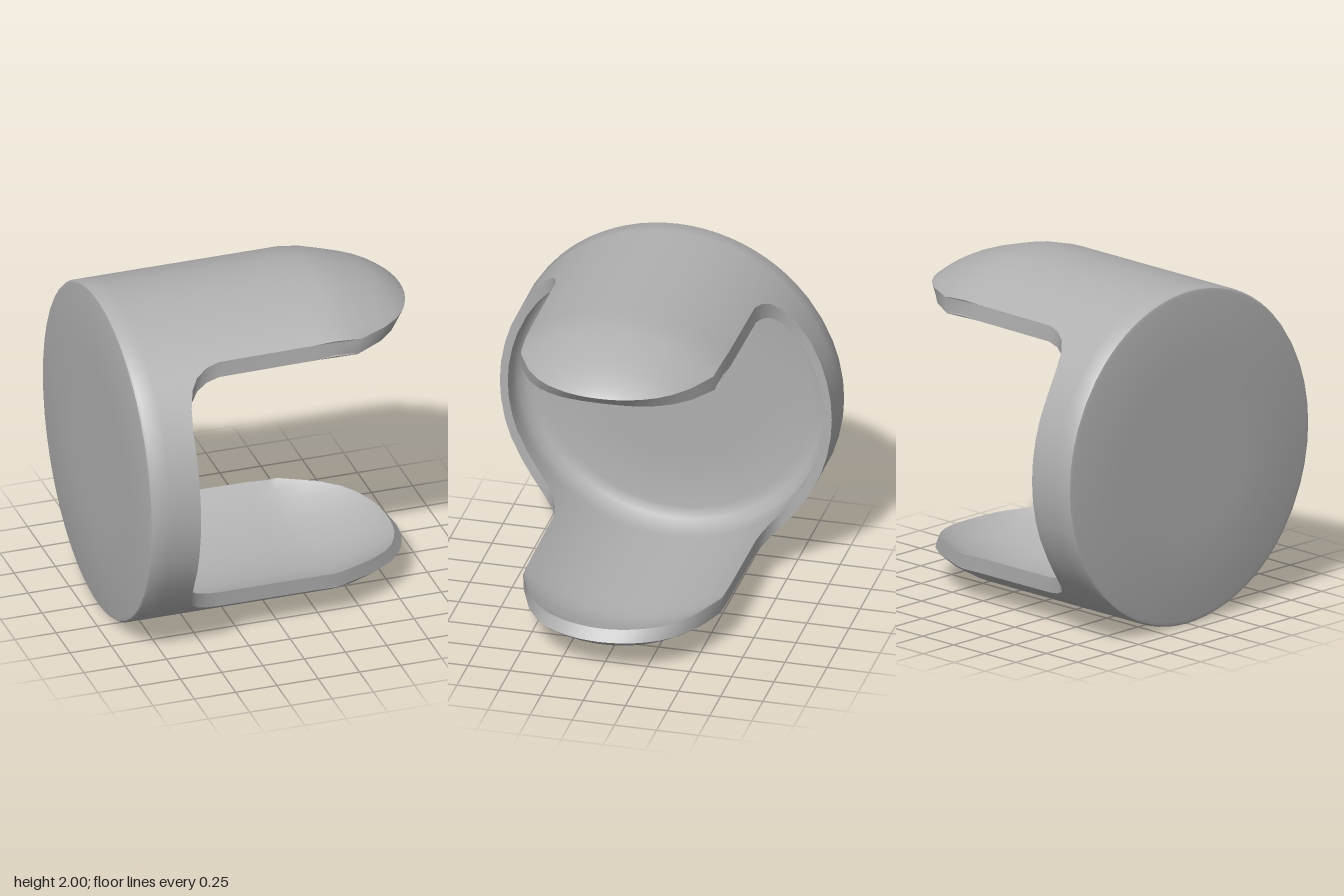
import * as THREE from 'three';
import { toCreasedNormals } from 'three/addons/utils/BufferGeometryUtils.js';

// Matching outer and inner profiles [x, radius], from the closed end to the tips
const outer = [[-0.92, 0], [-0.92, 0.5], [-0.92, 0.97], [-0.915, 0.99], [-0.9, 1], [-0.8, 1]];
const inner = [[-0.85, 0], [-0.85, 0.5], [-0.85, 0.8], [-0.83, 0.87], [-0.79, 0.91], [-0.72, 0.92]];
for (const x of [-0.68, -0.62, -0.55, -0.45, -0.38, -0.2, 0, 0.2]) {
  outer.push([x, 1]);
  inner.push([x, 0.92]);
}
const dome = [[0.33, 1], [0.45, 0.985], [0.56, 0.955], [0.66, 0.925], [0.74, 0.895],
  [0.81, 0.86], [0.87, 0.82], [0.91, 0.79], [0.94, 0.755]];
dome.forEach(([x, r], i) => {
  const [x0, r0] = dome[Math.max(i - 1, 0)], [x1, r1] = dome[Math.min(i + 1, dome.length - 1)];
  const len = Math.hypot(x1 - x0, r1 - r0), t = 0.08;
  outer.push([x, r]);
  inner.push([x + t * (r1 - r0) / len, r - t * (x1 - x0) / len]);
});

// Where the wall stops: angle from vertical -> profile parameter
const fillet = [[0.64, 0.2], [0.645, -0.38], [0.67, -0.46], [0.72, -0.53], [0.79, -0.575],
  [0.9, -0.605], [1.05, -0.62], [1.2, -0.62], [1.32, -0.62], [1.45, -0.62], [Math.PI / 2, -0.62]];
function paramWhere(test, axis, value) {
  for (let j = 5; j < outer.length - 1; j++) {
    const a = outer[j][axis], b = outer[j + 1][axis];
    if (a !== b && test(b, value)) return j + (value - a) / (b - a);
  }
  return outer.length - 1;
}
const quarter = [];
for (let i = 0; i <= 8; i++) quarter.push({ a: 0.635 * i / 8 });
for (const [a, x] of fillet) quarter.push({ a, x });

function columnAt(q, phi, cut) {
  const end = q.x === undefined
    ? paramWhere((b, v) => b <= v, 1, Math.min(cut / Math.cos(q.a), 0.999))
    : paramWhere((b, v) => b >= v, 0, q.x);
  return { phi, a: q.a, end };
}
const columns = [];
const back = [...quarter].reverse();
quarter.forEach((q) => columns.push(columnAt(q, q.a, 0.785)));
back.slice(1).forEach((q) => columns.push(columnAt(q, Math.PI - q.a, 0.8)));
quarter.slice(1).forEach((q) => columns.push(columnAt(q, Math.PI + q.a, 0.8)));
back.slice(1).forEach((q) => columns.push(columnAt(q, 2 * Math.PI - q.a, 0.785)));

// Point on either skin; the inner skin turns a little so straight edges are cut square
function pointOn(profile, col, u) {
  const v = Math.min(u, col.end), j = Math.min(Math.floor(v), profile.length - 2), f = v - j;
  const x = THREE.MathUtils.lerp(profile[j][0], profile[j + 1][0], f);
  let r = THREE.MathUtils.lerp(profile[j][1], profile[j + 1][1], f);
  let phi = col.phi;
  if (profile === inner) {
    const s = Math.sin(phi), c = Math.cos(phi);
    r *= 1 + 0.035 * s * s;
    const edge = 0.645, turned = Math.asin(Math.sin(edge) / 0.92);
    const a = col.a < edge ? Math.asin(Math.sin(col.a) / 0.92)
      : turned + (col.a - edge) * (Math.PI / 2 - turned) / (Math.PI / 2 - edge);
    phi = Math.atan2(Math.sin(a) * Math.sign(s), Math.cos(a) * Math.sign(c));
  }
  return new THREE.Vector3(x, 1 + r * Math.cos(phi), 0.985 * r * Math.sin(phi));
}

// Skin a grid of points, leaving out collapsed triangles
function skin(rows, cols, at, flip, crease) {
  const pos = [], tri = new THREE.Triangle();
  const add = (p, q, r) => {
    tri.set(p, q, r);
    if (tri.getArea() < 1e-7) return;
    for (const v of flip ? [p, r, q] : [p, q, r]) pos.push(v.x, v.y, v.z);
  };
  for (let i = 0; i < cols; i++) {
    for (let j = 0; j < rows; j++) {
      const a = at(i, j), b = at(i + 1, j), c = at(i + 1, j + 1), d = at(i, j + 1);
      add(a, b, c);
      add(a, c, d);
    }
  }
  const g = new THREE.BufferGeometry();
  g.setAttribute('position', new THREE.Float32BufferAttribute(pos, 3));
  return toCreasedNormals(g, crease);
}

export function createModel() {
  const group = new THREE.Group();
  group.name = 'cutawayCup';
  const grey = new THREE.MeshStandardMaterial({ color: 0xb0b0b0, side: THREE.DoubleSide });
  grey.name = 'plain grey';
  const n = columns.length - 1, rows = outer.length - 1;
  const add = (name, geometry) => {
    const mesh = new THREE.Mesh(geometry, grey);
    mesh.name = name;
    group.add(mesh);
  };
  // Outer wall with closed end, inner wall with floor, and the rim joining them
  add('outerShell', skin(rows, n, (i, j) => pointOn(outer, columns[i], j), false, 0.6));
  add('innerShell', skin(rows, n, (i, j) => pointOn(inner, columns[i], j), true, 0.9));
  add('rim', skin(1, n, (i, j) => pointOn(j ? inner : outer, columns[i], 99), false, 0.7));
  return group;
}
